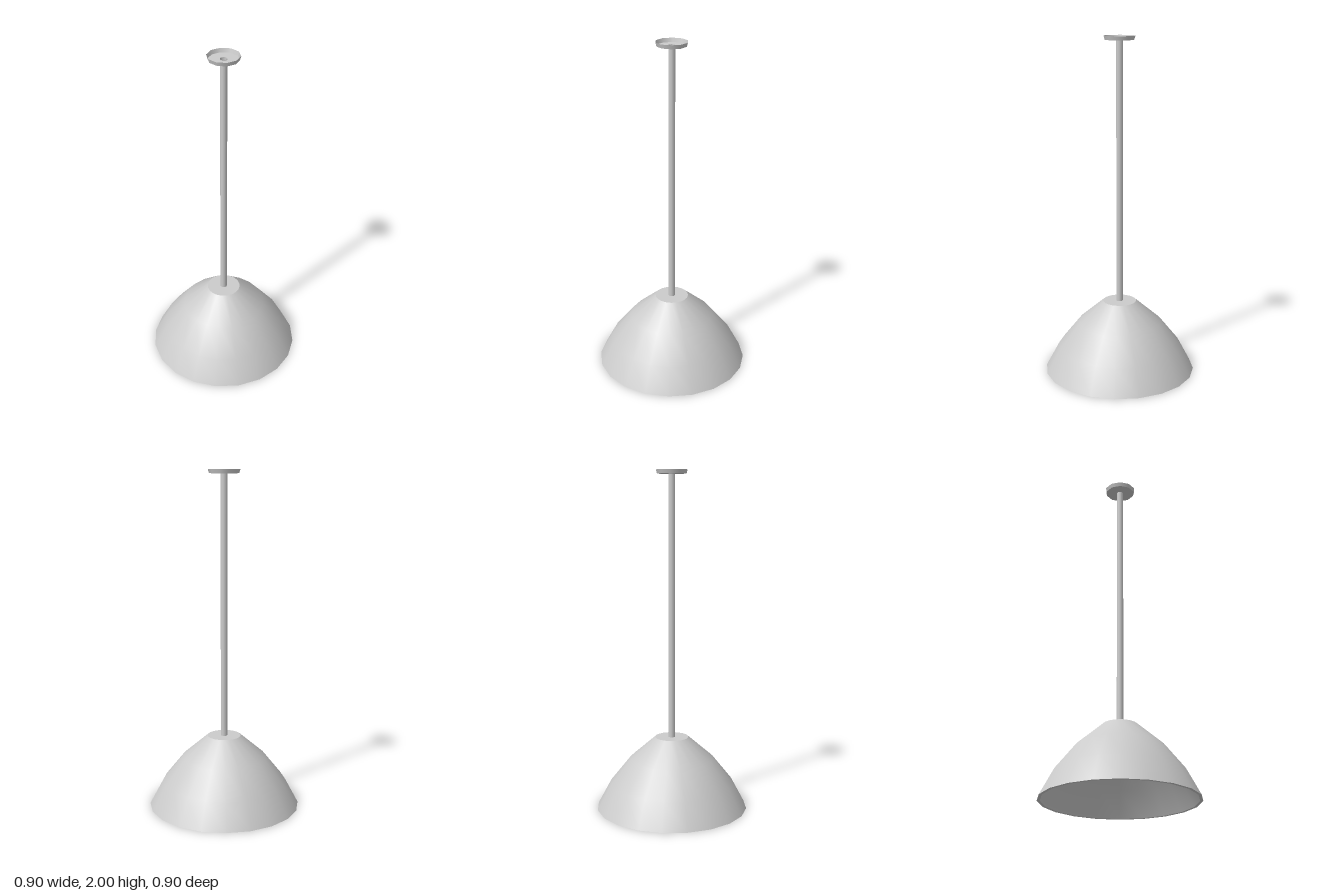
import * as THREE from 'three';

const material = new THREE.MeshStandardMaterial({ color: 0xcccccc });
const thin = new THREE.MeshStandardMaterial({ color: 0xcccccc, side: THREE.DoubleSide });

// One smooth turned surface; separate surfaces keep their shared edges sharp.
function turned(name, profile, sides, mat = material) {
  const points = profile.map(([r, y]) => new THREE.Vector2(r, y));
  const mesh = new THREE.Mesh(new THREE.LatheGeometry(points, sides, Math.PI / 2), mat);
  mesh.name = name;
  return mesh;
}

export function createModel() {
  const model = new THREE.Group();
  model.name = 'pendantLamp';

  // Shade: outer shell, flat top, rim and inner lining
  const outer = [[0.45, 0], [0.37, 0.15], [0.25, 0.3], [0.1, 0.43]];
  const inner = [[0.092, 0.415], [0.237, 0.29], [0.355, 0.143], [0.433, 0]];
  const shade = new THREE.Group();
  shade.name = 'shade';
  shade.add(
    turned('shadeOuter', outer, 20),
    turned('shadeTop', [[0.1, 0.43], [0, 0.43]], 20),
    turned('shadeRim', [[0.433, 0], [0.45, 0]], 20),
    turned('shadeLining', inner, 20),
    turned('shadeCeiling', [[0, 0.415], [0.092, 0.415]], 20),
  );

  // Bulb hanging under the shade's top
  const bulb = new THREE.Mesh(new THREE.SphereGeometry(0.115, 20, 14), material);
  bulb.name = 'bulb';
  bulb.position.y = 0.25;

  // Hollow rod from the bulb up to the ceiling plate
  const rod = turned('rod', [[0.02, 0.35], [0.02, 1.98]], 10, thin);

  // Ceiling plate: shallow dish, open at the top
  const plate = new THREE.Group();
  plate.name = 'ceilingPlate';
  plate.add(
    turned('plateFloor', [[0.02, 1.977], [0.086, 1.977]], 10, thin),
    turned('plateWall', [[0.086, 1.977], [0.0925, 2]], 10, thin),
  );

  model.add(shade, bulb, rod, plate);
  return model;
}
